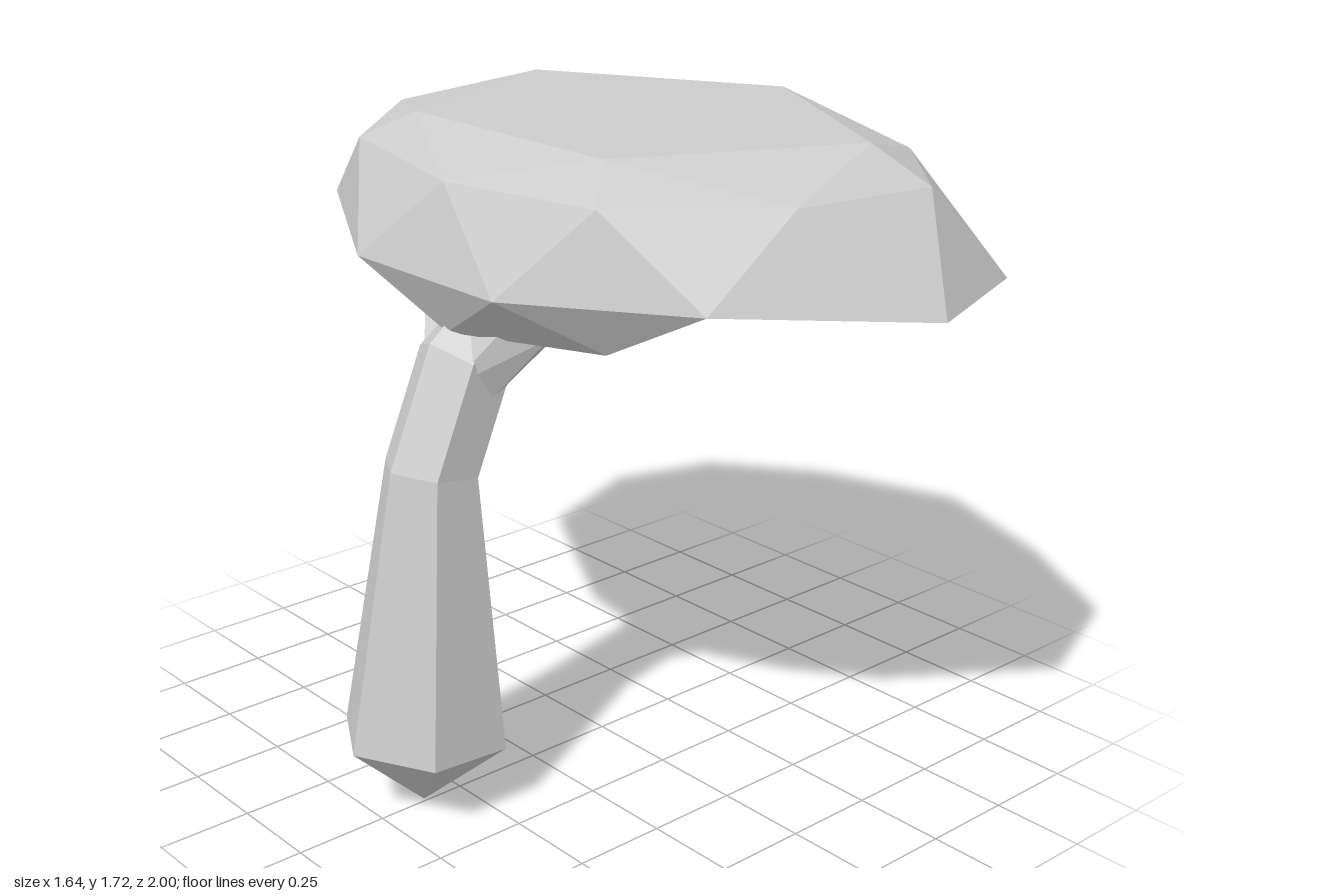
import * as THREE from 'three';

const bark = new THREE.MeshStandardMaterial({ color: 0xcccccc, flatShading: true });
const leaf = new THREE.MeshStandardMaterial({ color: 0xcccccc, flatShading: true });

// Builds flat-shaded triangles from lists of three corner points
function facets(tris, material, name) {
  const geo = new THREE.BufferGeometry();
  geo.setAttribute('position', new THREE.Float32BufferAttribute(tris.flat(2), 3));
  geo.computeVertexNormals();
  const mesh = new THREE.Mesh(geo, material);
  mesh.name = name;
  return mesh;
}

// Tapered limb: each stop is [x, y, z, radius]; rings sit square to the path
function limb(name, stops, sides) {
  const pts = stops.map(s => new THREE.Vector3(s[0], s[1], s[2]));
  const rings = stops.map((s, i) => {
    const dir = pts[Math.min(i + 1, pts.length - 1)].clone().sub(pts[Math.max(i - 1, 0)]).normalize();
    const v = new THREE.Vector3(0, 0, 1).addScaledVector(dir, -dir.z).normalize();
    const u = v.clone().cross(dir);
    return Array.from({ length: sides }, (_, k) => {
      const a = (k / sides) * Math.PI * 2;
      return pts[i].clone().addScaledVector(u, -Math.cos(a) * s[3]).addScaledVector(v, Math.sin(a) * s[3]).toArray();
    });
  });
  const tris = [];
  for (let i = 0; i + 1 < rings.length; i++) {
    for (let k = 0; k < sides; k++) {
      const n = (k + 1) % sides;
      const [a, b, c, d] = [rings[i][k], rings[i][n], rings[i + 1][n], rings[i + 1][k]];
      if (stops[i][3] > 0) tris.push([a, d, b]);
      if (stops[i + 1][3] > 0) tris.push([b, d, c]);
    }
  }
  // Make the winding face away from the path
  const near = new THREE.Vector3();
  tris.forEach(t => {
    const [a, b, c] = t.map(p => new THREE.Vector3(...p));
    const normal = b.clone().sub(a).cross(c.clone().sub(a));
    const mid = a.clone().add(b).add(c).divideScalar(3);
    const away = pts.slice(1).map((p, i) => {
      new THREE.Line3(pts[i], p).closestPointToPoint(mid, true, near);
      return mid.clone().sub(near);
    }).sort((p, q) => p.length() - q.length())[0];
    if (normal.dot(away) < 0) t.reverse();
  });
  return facets(tris, bark, name);
}

// Flat-topped crown: top ring of 5, shoulder ring of 10, rim of 10, hollow underside
function canopy() {
  const T = [[-0.3, -0.38], [0.31, -0.64], [0.65, 0], [0.29, 0.64], [-0.31, 0.36]].map(([x, z]) => [x, 1.72, z]);
  const M = [
    [-0.5, 0], [-0.36, -0.55], [0.02, -0.89], [0.37, -0.83], [0.62, -0.48],
    [0.78, 0], [0.62, 0.48], [0.33, 0.8], [-0.06, 0.74], [-0.41, 0.45],
  ].map(([x, z]) => [x, 1.635, z]);
  const R = [
    [-0.57, 1.41, -0.27], [-0.24, 1.42, -0.85], [0.17, 1.42, -1], [0.56, 1.5, -0.72], [0.82, 1.49, -0.27],
    [0.82, 1.45, 0.27], [0.6, 1.37, 0.83], [0.17, 1.38, 1], [-0.31, 1.42, 0.71], [-0.57, 1.41, 0.27],
  ];
  const tris = [];
  for (let k = 0; k < 5; k++) {
    const a = M[2 * k], b = M[2 * k + 1], c = M[(2 * k + 2) % 10], next = T[(k + 1) % 5];
    tris.push([T[k], b, a], [T[k], c, b], [T[k], next, c]);
    if (k > 0 && k < 4) tris.push([T[0], next, T[k]]);
  }
  for (let i = 0; i < 10; i++) {
    tris.push([M[i], M[(i + 1) % 10], R[i]], [M[i], R[i], R[(i + 9) % 10]]);
  }
  // Drooping lip on the trunk side, then the hollow underside
  const front = [-0.37, 1.28, 0.44], middle = [-0.5, 1.26, 0], back = [-0.32, 1.4, -0.46];
  tris.push(
    [R[8], R[9], front], [R[9], middle, front], [R[9], R[0], middle],
    [R[0], back, middle], [R[0], R[1], back], [R[1], R[2], back],
  );
  const loop = [...R.slice(2, 9), front, middle, back];
  loop.forEach((p, i) => tris.push([p, loop[(i + 1) % loop.length], [0.2, 1.44, 0]]));
  return facets(tris, leaf, 'canopy');
}

export function createModel() {
  const tree = new THREE.Group();
  tree.name = 'tree';
  tree.add(canopy());

  // Leaning trunk with a pointed root
  tree.add(limb('trunk', [
    [-0.61, 0, -0.01, 0], [-0.595, 0.19, -0.015, 0.225], [-0.56, 0.92, 0, 0.125],
    [-0.455, 1.165, 0, 0.125], [-0.2, 1.38, 0, 0.11],
  ], 6));

  // Forked branches and twigs reaching under the canopy
  const limbs = {
    frontBranch: [[-0.46, 1.13, 0.01, 0.09], [-0.35, 1.33, 0.18, 0.09], [-0.05, 1.39, 0.4, 0.06], [0.2, 1.39, 0.62, 0.035], [0.4, 1.32, 0.82, 0]],
    backBranch: [[-0.46, 1.13, -0.01, 0.09], [-0.33, 1.34, -0.18, 0.085], [-0.05, 1.42, -0.4, 0.05], [0.18, 1.48, -0.7, 0]],
    middleBranch: [[-0.3, 1.3, 0, 0.1], [0.02, 1.36, 0.03, 0.075], [0.32, 1.4, 0, 0.05], [0.7, 1.48, -0.12, 0]],
    frontTwig: [[-0.05, 1.39, 0.38, 0.05], [0.25, 1.4, 0.42, 0.035], [0.6, 1.44, 0.47, 0]],
    middleTwig: [[0, 1.36, 0.03, 0.055], [0.3, 1.42, -0.16, 0.04], [0.52, 1.48, -0.32, 0]],
  };
  for (const [name, stops] of Object.entries(limbs)) tree.add(limb(name, stops, 5));
  return tree;
}
